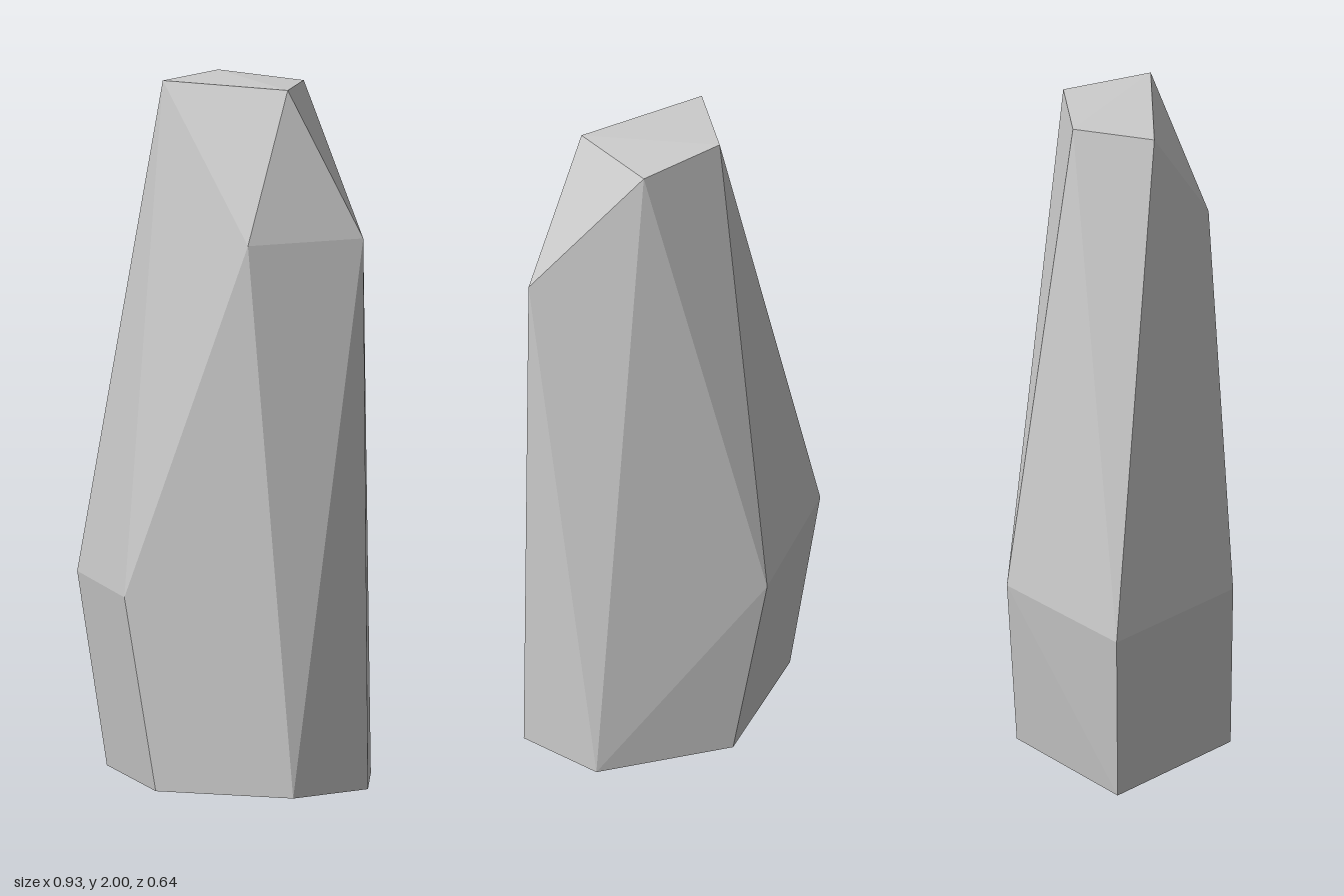
import * as THREE from 'three';
import { ConvexGeometry } from 'three/addons/geometries/ConvexGeometry.js';

export function createModel() {
  const group = new THREE.Group();
  group.name = 'standingStone';

  // Corners of the faceted stone, ring by ring from the ground up
  const corners = [
    // hexagonal foot
    [-0.37, 0, 0], [-0.05, 0, 0.31], [0.35, 0, 0.235],
    [0.465, 0, 0], [0.35, 0, -0.235], [-0.05, 0, -0.295],
    // bulge on the left half of the front
    [-0.465, 0.55, 0], [-0.145, 0.55, 0.32], [-0.145, 0.55, -0.32],
    // shoulder
    [0.45, 1.58, 0], [0.208, 1.575, 0.24],
    // slanted top facet
    [-0.14, 2, 0.097], [0.248, 2, 0.075], [0.17, 1.985, -0.17], [-0.085, 2, -0.135],
  ].map((p) => new THREE.Vector3(...p));

  const stone = new THREE.Mesh(
    new ConvexGeometry(corners),
    new THREE.MeshStandardMaterial({ color: 0xcccccc, flatShading: true }),
  );
  stone.name = 'stoneBody';
  group.add(stone);
  return group;
}
